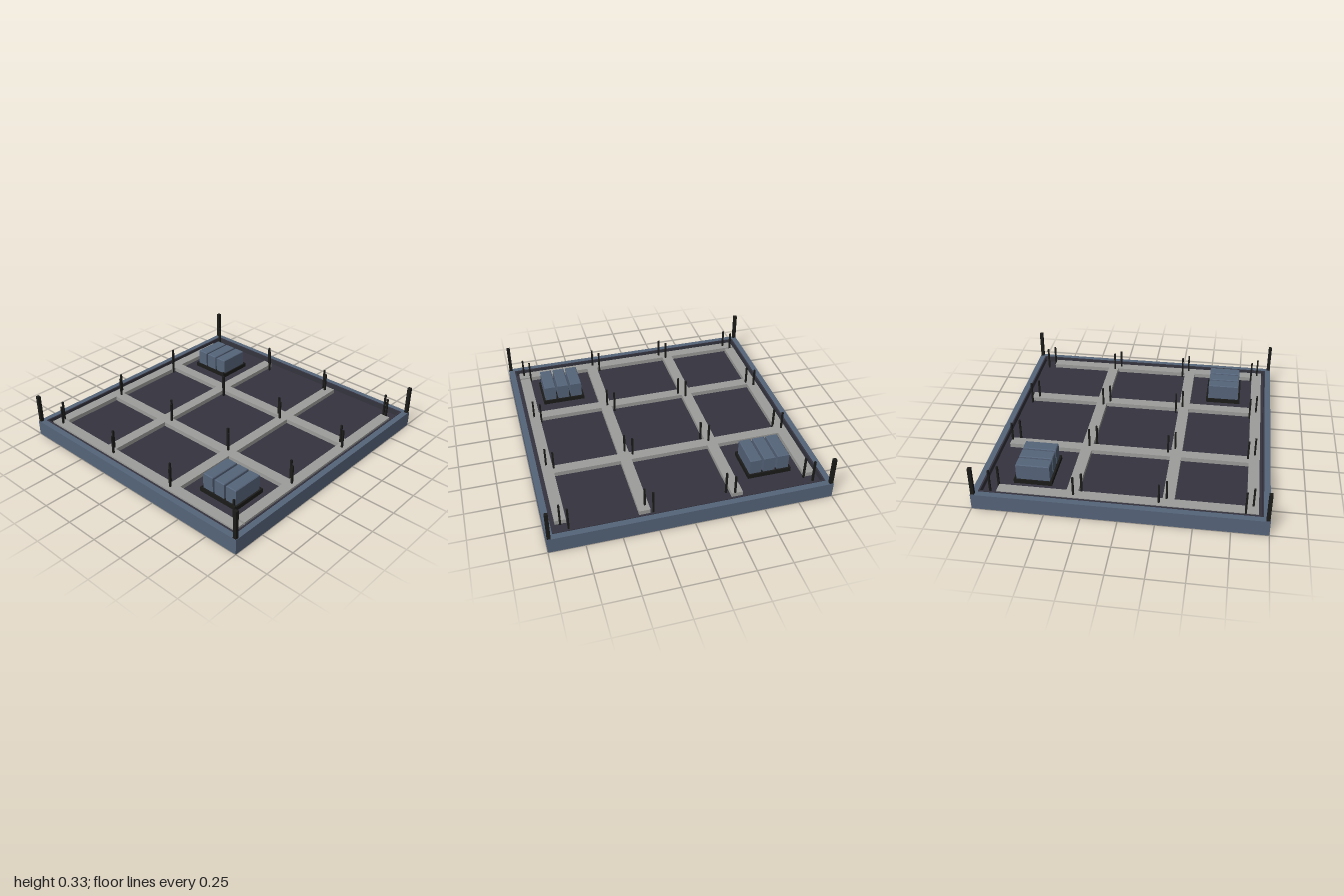
import * as THREE from 'three';

const mat = (name, color) => {
  const m = new THREE.MeshStandardMaterial({ color });
  m.name = name;
  return m;
};

export function createModel() {
  const blue = mat('slate blue', 0x56657b);
  const dark = mat('dark plum', 0x35343f);
  const grey = mat('beam grey', 0x9d9d9b);
  const black = mat('black', 0x1b1b1a);
  const model = new THREE.Group();
  model.name = 'platform';

  // Box given by its lower and upper limits
  const box = (name, material, [x0, x1], [y0, y1], [z0, z1], parent = model) => {
    const mesh = new THREE.Mesh(new THREE.BoxGeometry(x1 - x0, y1 - y0, z1 - z0), material);
    mesh.position.set((x0 + x1) / 2, (y0 + y1) / 2, (z0 + z1) / 2);
    mesh.name = name;
    parent.add(mesh);
    return mesh;
  };
  const around = (c, half) => [c - half, c + half];

  // Square ring with a square opening, standing on y0
  const ring = (name, material, outer, inner, y0, y1) => {
    const square = (s, Kind) => new Kind([[-s, -s], [s, -s], [s, s], [-s, s]].map(([x, y]) => new THREE.Vector2(x, y)));
    const shape = square(outer, THREE.Shape);
    shape.holes.push(square(inner, THREE.Path));
    const geo = new THREE.ExtrudeGeometry(shape, { depth: y1 - y0, bevelEnabled: false });
    geo.rotateX(-Math.PI / 2);
    const mesh = new THREE.Mesh(geo, material);
    mesh.position.y = y0;
    mesh.name = name;
    model.add(mesh);
  };

  // Outer walls, inner lining and recessed floor
  ring('outerWall', blue, 1, 0.955, 0, 0.115);
  ring('wallLining', dark, 0.956, 0.945, 0.003, 0.119);
  box('floor', dark, [-0.95, 0.95], [0.068, 0.076], [-0.95, 0.95]);

  // Beam grid, open along the back edge
  const beamY = [0.074, 0.108];
  for (const c of [-0.33, 0.325]) {
    box('lengthBeam', grey, around(c, 0.04), beamY, [-0.9, 0.892]);
    box('crossBeam', grey, [-0.9, 0.893], beamY, around(c, 0.04));
  }
  for (const c of [-0.887, 0.885]) box('sideBeam', grey, around(c, 0.039), beamY, [-0.84, 0.832]);
  box('frontBeam', grey, [-0.925, 0.925], beamY, around(0.885, 0.039));

  // Tall corner posts
  for (const x of [-0.984, 0.984])
    for (const z of [-0.984, 0.984])
      box('cornerPost', black, around(x, 0.0125), [0.001, 0.328], around(z, 0.0125));

  // Paired thin posts at every grid crossing
  const stops = [-0.893, -0.315, 0.264, 0.84];
  for (const x of stops)
    for (const z of stops)
      for (const d of [0, 0.048])
        box('thinPost', black, around(x + d, 0.0065), [0.074, 0.25], around(z + d, 0.0065));

  // Crate with narrow bevelled edges
  const crate = (x, z, parent) => {
    const b = 0.005, w = 0.0435 - b, d = 0.119 - b;
    const shape = new THREE.Shape([[-w, -d], [w, -d], [w, d], [-w, d]].map(([px, py]) => new THREE.Vector2(px, py)));
    const geo = new THREE.ExtrudeGeometry(shape, {
      depth: 0.122 - 2 * b, bevelThickness: b, bevelSize: b, bevelSegments: 1,
    });
    geo.rotateX(-Math.PI / 2);
    const mesh = new THREE.Mesh(geo, blue);
    mesh.position.set(x, 0.099 + b, z);
    mesh.name = 'crate';
    parent.add(mesh);
  };

  // Two pads with three crates each, in opposite corners
  for (const s of [-1, 1]) {
    const pad = new THREE.Group();
    pad.name = s < 0 ? 'backCratePad' : 'frontCratePad';
    const c = s * 0.623;
    const bottom = s < 0 ? 0.066 : 0.074;
    box('pad', black, around(c, 0.161), [bottom, 0.1], around(c, 0.135), pad);
    // Raised rim
    for (const e of [-1, 1]) {
      box('padRim', black, around(c + e * 0.156, 0.005), [0.1, 0.108], around(c, 0.135), pad);
      box('padRim', black, around(c, 0.151), [0.1, 0.108], around(c + e * 0.13, 0.005), pad);
    }
    for (const i of [-1, 0, 1]) crate(c + i * 0.102, c, pad);
    model.add(pad);
  }
  return model;
}
